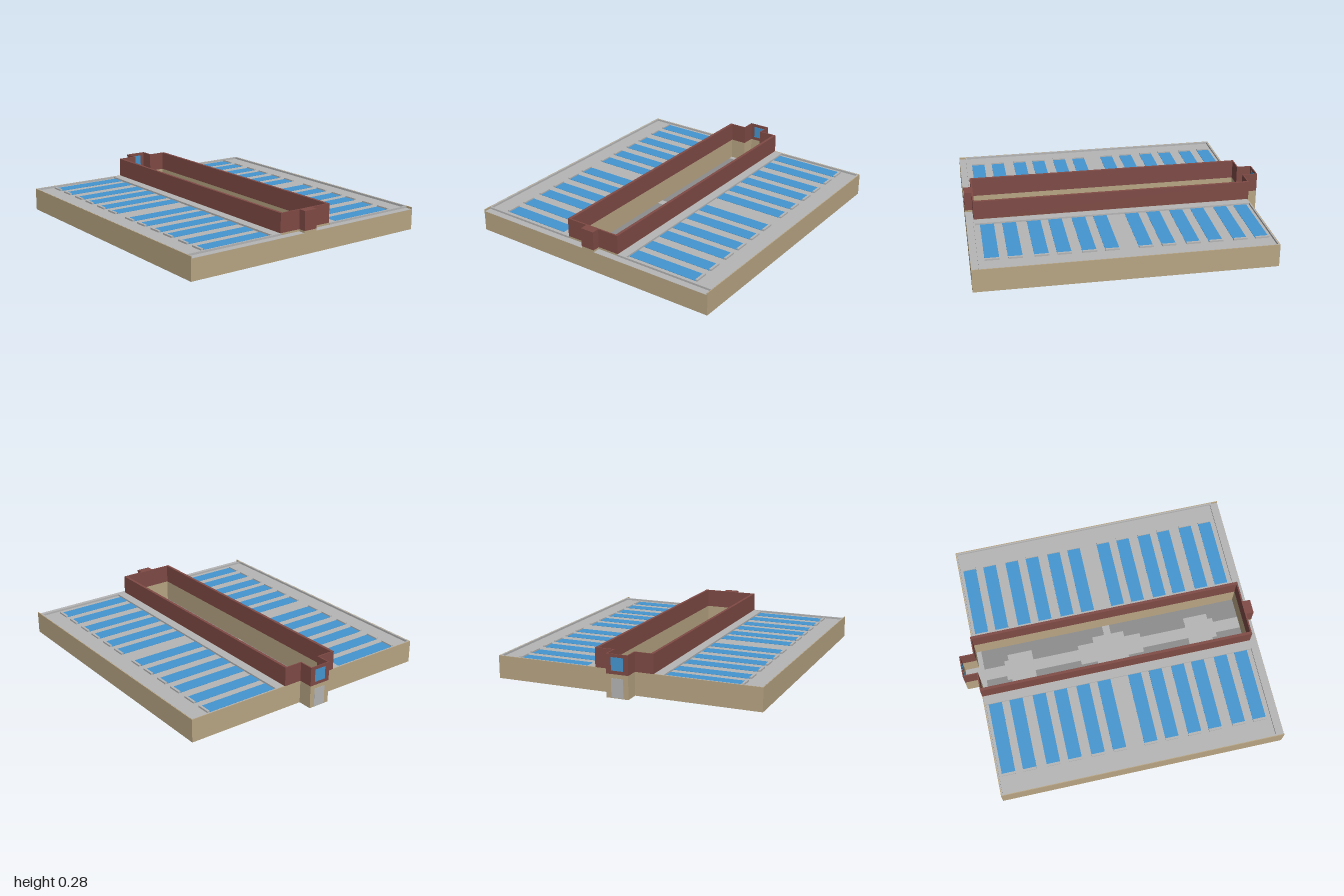
import * as THREE from 'three';

const mat = (name, color) => {
  const m = new THREE.MeshStandardMaterial({ color });
  m.name = name;
  return m;
};

export function createModel() {
  const model = new THREE.Group();
  model.name = 'hallBuilding';
  const tan = mat('tan wall', 0xb8a583);
  const red = mat('red brick', 0x7f4a45);
  const grey = mat('light grey', 0xb5b5b5);
  const dark = mat('dark grey floor', 0x8c8c8c);
  const blue = mat('blue glass', 0x4496d0);

  // Box given by its limits on each axis
  const box = (name, m, x0, x1, y0, y1, z0, z1) => {
    const mesh = new THREE.Mesh(new THREE.BoxGeometry(x1 - x0, y1 - y0, z1 - z0), m);
    mesh.position.set((x0 + x1) / 2, (y0 + y1) / 2, (z0 + z1) / 2);
    mesh.name = name;
    model.add(mesh);
  };
  // The same box on both sides of the long axis
  const pair = (name, m, x0, x1, y0, y1, z0, z1) => {
    box(name, m, x0, x1, y0, y1, z0, z1);
    box(name, m, x0, x1, y0, y1, -z1, -z0);
  };

  const W = -0.905, HE = 0.95, E = 1, D = 0.885; // west, hall end, east, half depth
  const roofY = 0.137, rimY = 0.15, topY = 0.275;

  // Lower tan walls of the two wings
  pair('longOuterWall', tan, W, E, 0, rimY, D - 0.006, D);
  pair('wingEndWall', tan, W, W + 0.006, 0, rimY, 0.195, D - 0.006);
  pair('wingInnerWall', tan, W + 0.006, HE, 0, 0.126, 0.25, 0.256);
  box('eastEndWall', tan, E - 0.008, E, 0, roofY - 0.001, -D + 0.006, D - 0.006);
  box('eastPier', tan, HE, E, 0, rimY, -0.047, 0.047);

  // Roof slab of each wing, cut by the skylight openings
  const centres = [-0.829, -0.688, -0.53, -0.385, -0.23, -0.085,
    0.127, 0.27, 0.425, 0.565, 0.725, 0.868];
  const half = 0.045, zIn = 0.256, zOut = 0.742;
  for (const s of [1, -1]) {
    const shape = new THREE.Shape([[W + 0.006, 0.195], [E - 0.001, 0.195],
      [E - 0.001, D - 0.006], [W + 0.006, D - 0.006]].map(([x, z]) => new THREE.Vector2(x, s * z)));
    for (const c of centres) {
      shape.holes.push(new THREE.Path([[c - half, zIn], [c + half, zIn],
        [c + half, zOut], [c - half, zOut]].map(([x, z]) => new THREE.Vector2(x, s * z))));
    }
    const geo = new THREE.ExtrudeGeometry(shape, { depth: 0.011, bevelEnabled: false });
    geo.rotateX(Math.PI / 2); // shape y becomes +z, thickness goes down
    const roof = new THREE.Mesh(geo, grey);
    roof.position.y = roofY;
    roof.name = 'wingRoof';
    model.add(roof);
  }
  box('eastRoofStrip', grey, HE, E - 0.001, 0.126, roofY, -0.195, 0.195);

  // Skylights with a raised end cap
  for (const c of centres) {
    pair('skylight', blue, c - half, c + half, 0.124, 0.139, zIn, zOut);
    pair('skylightCap', grey, c - half, c + half, 0.125, 0.148, zOut - 0.002, 0.755);
  }

  // Roof rims and the raised strip beside the hall
  pair('longRim', grey, W + 0.006, HE, roofY, rimY + 0.0005, D - 0.014, D - 0.005);
  pair('westRim', grey, W + 0.005, W + 0.012, roofY, rimY + 0.0005, 0.256, D - 0.014);
  pair('eastRim', grey, HE - 0.006, HE + 0.004, roofY, rimY, 0.195, D - 0.006);
  pair('hallSideStrip', grey, W + 0.006, HE - 0.006, roofY, 0.149, 0.195, 0.256);

  // Hall: tan below, red above, open at the top
  const hall = (m, label, y0, y1) => {
    pair(label + 'HallSideWall', m, W, HE, y0, y1, 0.176, 0.195);
    box(label + 'HallEastWall', m, HE - 0.01, HE, y0, y1, -0.176, 0.176);
    pair(label + 'HallWestWall', m, W, W + 0.008, y0, y1, 0.073, 0.176);
    pair(label + 'PorchSideWall', m, -1, W + 0.008, y0, y1, 0.065, 0.073);
    box(label + 'PorchEndWall', m, -1, -0.993, y0, y1, -0.065, 0.065);
  };
  hall(tan, 'lower', 0, rimY);
  hall(red, 'upper', rimY, topY);
  box('eastTurret', red, HE, E, rimY, topY, -0.047, 0.047);

  // Porch window and door
  box('porchWindow', blue, -1.0, -0.9915, 0.172, 0.255, -0.04, 0.04);
  box('porchWindowFace', blue, -1.0015, -0.9995, 0.172, 0.255, -0.04, 0.04);
  box('porchDoor', grey, -1.0015, -0.9995, 0.004, 0.125, -0.04, 0.04);

  // Hall floor: dark base with light paths and pads
  box('hallFloor', dark, W + 0.008, HE - 0.01, 0.002, 0.006, -0.176, 0.176);
  const path = (x0, x1, z0, z1) => box('floorPath', grey, x0, x1, 0.001, 0.008, z0, z1);
  path(-0.993, HE - 0.01, -0.04, 0.04);
  path(-0.993, W + 0.008, -0.065, 0.065);
  for (const s of [1, -1]) {
    const side = (x0, x1, z) => path(x0, x1, s > 0 ? 0.04 : -z, s > 0 ? z : -0.04);
    side(W + 0.008, -0.863, 0.176);
    side(-0.004, 0.046, 0.176);
    for (const [x0, x1] of [[-0.69, -0.52], [-0.088, -0.004], [0.046, 0.132], [0.565, 0.732]]) side(x0, x1, 0.11);
    for (const [x0, x1] of [[-0.72, -0.69], [-0.2, -0.088], [0.132, 0.242], [0.732, 0.765]]) side(x0, x1, 0.07);
  }
  return model;
}
